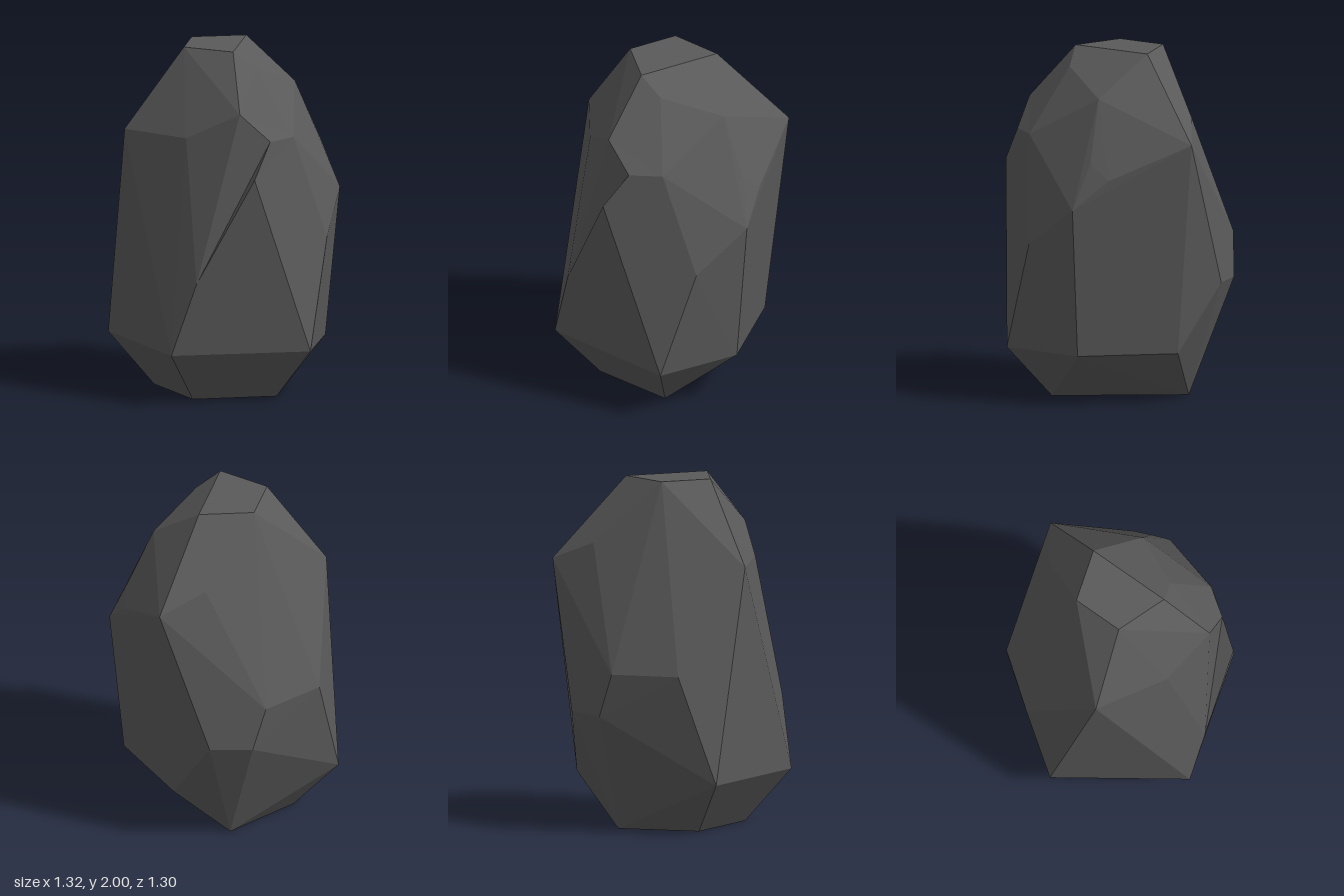
import * as THREE from 'three';
import { ConvexGeometry } from 'three/addons/geometries/ConvexGeometry.js';

const v = (x, y, z) => new THREE.Vector3(x, y, z);

// Corners of the boulder, ring by ring from the ground up
const base = [v(-0.12, 0, -0.385), v(0.35, 0, 0.24), v(-0.11, 0, 0.4), v(-0.395, 0, 0)];
const foot = [v(-0.195, 0.3, 0.65), v(0.57, 0.3, 0.4), v(0.58, 0.3, -0.1), v(0.18, 0.3, -0.52), v(-0.66, 0.3, 0)];
const waist = [
  v(-0.05, 0.72, 0.65), v(0.635, 0.93, 0.2), v(0.66, 1.16, -0.12), v(-0.065, 0.69, -0.65),
  v(-0.3, 0.68, -0.575), v(-0.365, 0.93, -0.525), v(-0.6, 0.93, -0.21),
];
const shoulder = [
  v(-0.53, 1.53, 0.23), v(-0.14, 1.53, 0.45), v(0.46, 1.53, 0.32), v(0.545, 1.42, -0.165),
  v(0.53, 1.33, -0.28), v(0.23, 1.53, -0.65), v(0, 1.64, -0.49),
];
const crown = [
  v(-0.2, 2, -0.15), v(0.1, 2, -0.25), v(0.1, 2, 0.25), v(-0.2, 2, 0.15),
  v(0.4, 1.77, -0.12), v(0.23, 1.9, 0.2),
];

// Chipped ridge at the front: its two ends, and the corner sunk between them
const ridgeTop = v(0.18, 1.69, 0.515);
const ridgeEnd = v(0.28, 1.33, 0.61);
const chip = v(0.35, 1.53, 0.48);

function boulderGeometry() {
  const hull = new ConvexGeometry([...base, ...foot, ...waist, ...shoulder, ...crown, ridgeTop, ridgeEnd]);
  const pos = hull.getAttribute('position');
  const onRidge = (p) => p.distanceTo(ridgeTop) < 1e-4 || p.distanceTo(ridgeEnd) < 1e-4;
  const points = [];
  for (let i = 0; i < pos.count; i += 3) {
    const tri = [0, 1, 2].map((k) => new THREE.Vector3().fromBufferAttribute(pos, i + k));
    if (tri.filter(onRidge).length < 2) {
      points.push(...tri);
      continue;
    }
    // Break the ridge: join the other edges of its two faces to the sunken corner
    for (let k = 0; k < 3; k++) {
      const a = tri[k], b = tri[(k + 1) % 3];
      if (!(onRidge(a) && onRidge(b))) points.push(a, b, chip);
    }
  }
  const geometry = new THREE.BufferGeometry().setFromPoints(points);
  geometry.computeVertexNormals();
  return geometry;
}

export function createModel() {
  const group = new THREE.Group();
  group.name = 'rock';
  const stone = new THREE.MeshStandardMaterial({ color: 0x5a5a5a, flatShading: true });
  stone.name = 'darkGreyStone';
  const boulder = new THREE.Mesh(boulderGeometry(), stone);
  boulder.name = 'boulder';
  group.add(boulder);
  return group;
}
